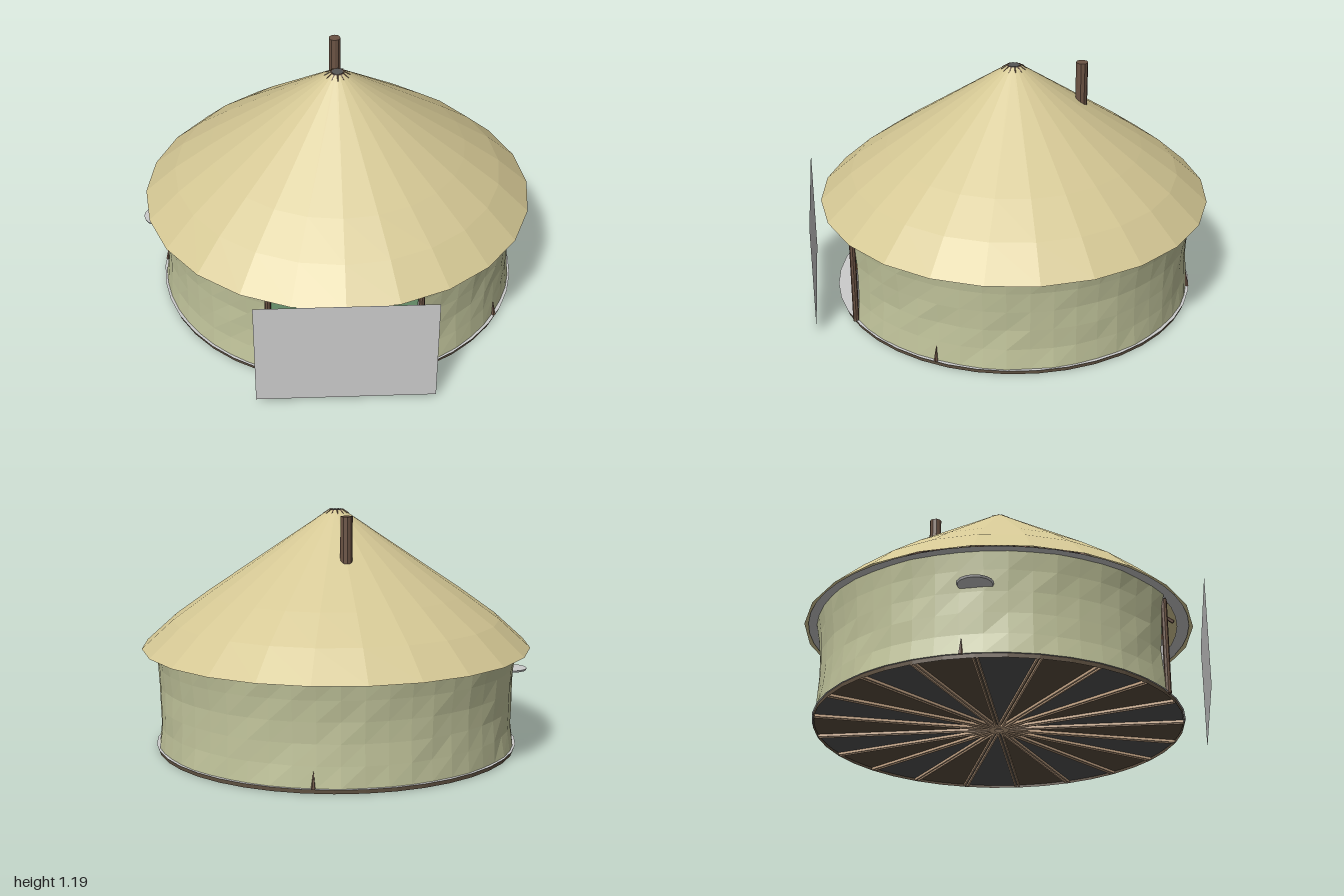
import * as THREE from 'three';

const mat = (color, opts = {}) => new THREE.MeshStandardMaterial({ color, flatShading: true, ...opts });
const GREY = mat(0xcccccc, { side: THREE.DoubleSide });
const FELT = mat(0xd4c794, { side: THREE.DoubleSide });
const CANVAS = mat(0xc2c59c, { side: THREE.DoubleSide });
const WOOD = mat(0x6b5344);
const JOIST = mat(0xcfae8e);
const BOARD = mat(0x5e5040, { side: THREE.DoubleSide });
const SLATE = mat(0x555555, { side: THREE.DoubleSide });
const GREEN = mat(0x6f9a72);
const ORANGE = mat(0xc98a55);

const ROOF = [[0.975, 0.51], [0.82, 0.65], [0.64, 0.78], [0.035, 1.19]];

function add(parent, name, geometry, material, x = 0, y = 0, z = 0) {
  const mesh = new THREE.Mesh(geometry, material);
  mesh.name = name;
  mesh.position.set(x, y, z);
  parent.add(mesh);
  return mesh;
}

// Straight round pole between two points
function pole(parent, name, a, b, r0, r1, material, sides = 6) {
  const dir = new THREE.Vector3().subVectors(b, a);
  const mesh = add(parent, name, new THREE.CylinderGeometry(r1, r0, dir.length(), sides), material);
  mesh.position.copy(a).add(b).multiplyScalar(0.5);
  mesh.quaternion.setFromUnitVectors(new THREE.Vector3(0, 1, 0), dir.normalize());
  return mesh;
}

const polar = (r, y, a) => new THREE.Vector3(r * Math.cos(a), y, r * Math.sin(a));

function seeded(seed) {
  return () => (seed = (seed * 16807) % 2147483647) / 2147483647;
}

// Open-fronted fabric wall, pinched at mid height and slightly uneven
function wallGeometry() {
  const half = THREE.MathUtils.degToRad(24);
  const geo = new THREE.CylinderGeometry(1, 1, 0.51, 44, 5, true, half, Math.PI * 2 - 2 * half);
  const pos = geo.attributes.position;
  const rand = seeded(7);
  for (let i = 0; i < pos.count; i++) {
    const y = pos.getY(i) + 0.275;
    const t = y / 0.53;
    const r = 0.9 - 0.042 * t * (1 - t) * 2 + 0.012 * t + (rand() - 0.5) * 0.008;
    pos.setXYZ(i, pos.getX(i) * r, y, pos.getZ(i) * r);
  }
  return geo;
}

function buildFloor(house) {
  const floor = new THREE.Group();
  floor.name = 'floor';
  house.add(floor);
  const n = 20, step = (Math.PI * 2) / n;
  add(floor, 'floorTop', new THREE.CircleGeometry(0.912, 40).rotateX(-Math.PI / 2), GREY, 0, 0.021, 0);
  add(floor, 'floorRim', new THREE.CylinderGeometry(0.905, 0.905, 0.02, 40, 1, true), BOARD, 0, 0.01, 0);
  for (let i = 0; i < n; i++) {
    // Alternating wedges seen from underneath
    add(floor, 'floorWedge', new THREE.CircleGeometry(0.9, 4, i * step, step).rotateX(Math.PI / 2),
      i % 2 ? SLATE : BOARD, 0, 0.012, 0);
    // Paired radial joists
    for (const s of [-1, 1]) {
      const joist = add(floor, 'joist', new THREE.BoxGeometry(0.88, 0.016, 0.008).translate(0.46, 0.008, s * 0.009), JOIST);
      joist.rotation.y = -i * step;
    }
  }
}

function buildRoof(house) {
  const roof = new THREE.Group();
  roof.name = 'roof';
  house.add(roof);
  add(roof, 'roofCover', new THREE.LatheGeometry(ROOF.map(p => new THREE.Vector2(...p)), 24), FELT);
  // Grey lining under the eaves
  add(roof, 'eaveLining', new THREE.RingGeometry(0.895, 0.955, 48).rotateX(Math.PI / 2), GREY, 0, 0.515, 0);
  for (let i = 0; i < 24; i++) {
    const a = (i / 24) * Math.PI * 2;
    pole(roof, 'rafter', polar(0.88, 0.54, a), polar(0.05, 1.14, a), 0.01, 0.006, WOOD, 5);
  }
  // Crown ring with pointed pole ends
  add(roof, 'crownCap', new THREE.CylinderGeometry(0.028, 0.028, 0.012, 12), SLATE, 0, 1.186, 0);
  const ring = add(roof, 'crownRing', new THREE.TorusGeometry(0.03, 0.006, 5, 12), WOOD, 0, 1.186, 0);
  ring.rotation.x = Math.PI / 2;
  for (let i = 0; i < 12; i++) {
    const a = (i / 12) * Math.PI * 2;
    pole(roof, 'crownPole', polar(0.03, 1.189, a), polar(0.064, 1.173, a), 0.006, 0.001, WOOD, 4);
  }
}

function buildDoorway(house) {
  const doorway = new THREE.Group();
  doorway.name = 'doorway';
  house.add(doorway);
  for (const s of [-1, 1]) {
    add(doorway, 'doorPost', new THREE.CylinderGeometry(0.015, 0.015, 0.48, 8), WOOD, s * 0.36, 0.255, 0.83);
  }
  add(doorway, 'lintel', new THREE.BoxGeometry(0.72, 0.025, 0.025), WOOD, 0, 0.49, 0.83);
  // Door set back between the posts
  add(doorway, 'doorLower', new THREE.BoxGeometry(0.69, 0.27, 0.01), GREY, 0, 0.16, 0.81);
  add(doorway, 'doorBand', new THREE.BoxGeometry(0.69, 0.03, 0.014), ORANGE, 0, 0.31, 0.81);
  add(doorway, 'doorUpper', new THREE.BoxGeometry(0.69, 0.155, 0.01), GREEN, 0, 0.4, 0.81);
}

export function createModel() {
  const model = new THREE.Group();
  model.name = 'roundTent';
  const house = new THREE.Group();
  house.name = 'house';
  house.position.set(0.008, 0, -0.025);
  model.add(house);

  buildFloor(house);
  add(house, 'wall', wallGeometry(), CANVAS);
  buildRoof(house);
  buildDoorway(house);

  add(house, 'chimney', new THREE.CylinderGeometry(0.03, 0.03, 0.3, 10), WOOD, 0, 1.04, -0.337);

  // Tent pegs around the foot of the wall
  for (const deg of [31, 184, 285]) {
    const a = THREE.MathUtils.degToRad(deg);
    pole(house, 'peg', polar(0.902, 0.02, a), polar(0.894, 0.1, a), 0.011, 0.001, WOOD, 5);
  }

  // Small round shelf on the right wall
  add(model, 'shelf', new THREE.CylinderGeometry(0.085, 0.08, 0.01, 16), GREY, -0.905, 0.35, -0.025);

  // Flat screen standing in front of the doorway
  add(model, 'frontScreen', new THREE.PlaneGeometry(0.85, 0.555), GREY, 0.007, 0.298, 1);
  return model;
}
